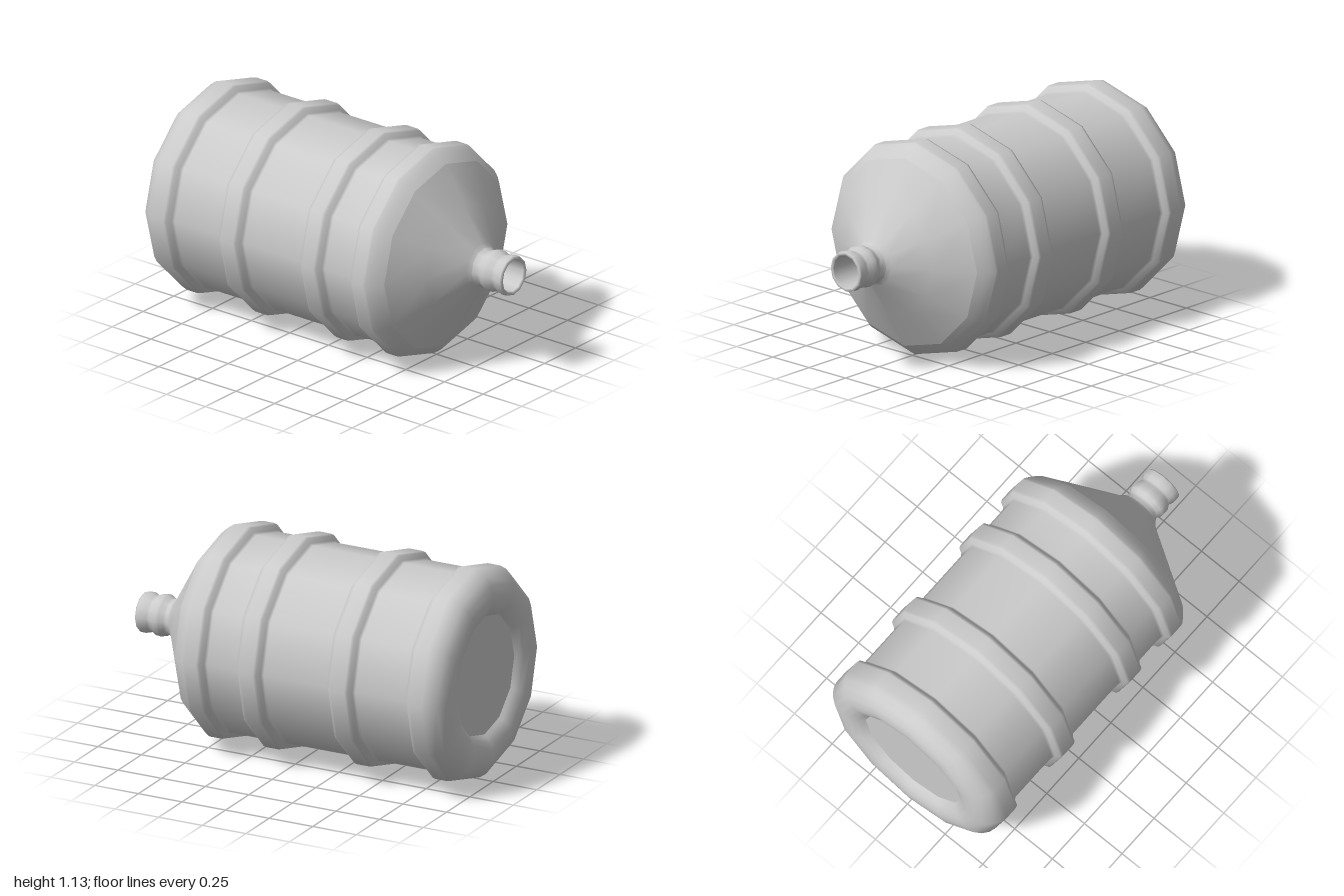
import * as THREE from 'three';

const SIDES = 12;
const RIB = 0.565, WALL = 0.525;

// Raised band between z0 and z1, as [radius, z] points from back to front
const rib = (z0, z1) => [
  [WALL, z0 - 0.035], [0.535, z0 - 0.022], [0.56, z0 - 0.008], [RIB, z0 + 0.008],
  [RIB, z1 - 0.008], [0.56, z1 + 0.008], [0.535, z1 + 0.022], [WALL, z1 + 0.035],
];

export function createModel() {
  const group = new THREE.Group();
  group.name = 'waterBottle';
  const material = new THREE.MeshStandardMaterial({ color: 0xcccccc, side: THREE.DoubleSide });

  // Turns a [radius, z] profile around the bottle's lying axis
  const turn = (name, profile) => {
    const points = profile.map(([r, z]) => new THREE.Vector2(r, z));
    const geometry = new THREE.LatheGeometry(points, SIDES).rotateX(Math.PI / 2);
    const mesh = new THREE.Mesh(geometry, material);
    mesh.name = name;
    mesh.position.y = RIB;
    group.add(mesh);
  };

  // Recessed bottom disc
  turn('basePanel', [[0, -0.95], [0.32, -0.95]]);

  // Rounded base, ribbed wall and first part of the shoulder
  turn('body', [
    [0.32, -0.95], [0.335, -0.965], [0.36, -0.985], [0.4, -0.998], [0.44, -1],
    [0.49, -0.99], [0.53, -0.96], [0.555, -0.925], [RIB, -0.89],
    ...rib(-0.46, -0.81).slice(4).map(([r, z]) => [r, z]),
    ...rib(-0.455, -0.36),
    ...rib(0.07, 0.16),
    ...rib(0.395, 0.48).slice(0, 5),
    [0.562, 0.485], [0.545, 0.51], [0.525, 0.535], [0.5, 0.56],
  ]);

  // Conical shoulder
  turn('shoulder', [[0.5, 0.56], [0.305, 0.68], [0.125, 0.79], [0.105, 0.81]]);

  // Ringed neck with an open mouth and inner wall
  turn('neck', [
    [0.105, 0.81], [0.095, 0.83], [0.095, 0.845], [0.108, 0.865], [0.11, 0.88],
    [0.108, 0.905], [0.096, 0.925], [0.096, 0.94], [0.106, 0.96], [0.106, 0.992],
    [0.102, 1], [0.09, 1], [0.086, 0.992], [0.085, 0.81],
  ]);

  return group;
}
